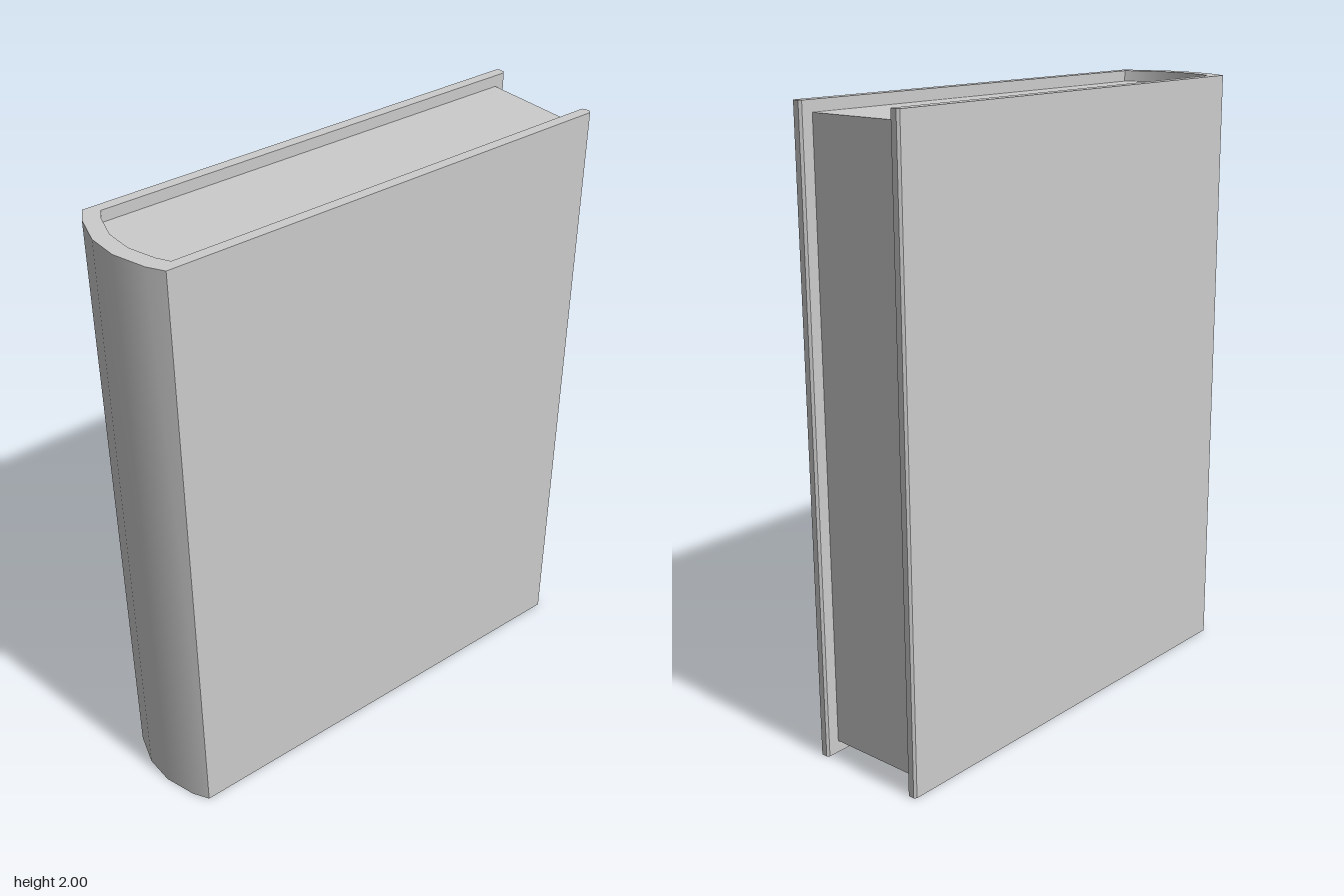
import * as THREE from 'three';
import { toCreasedNormals } from 'three/addons/utils/BufferGeometryUtils.js';

const material = new THREE.MeshStandardMaterial({ color: 0xcccccc });

// Half outlines as [x, z], from the fore edge round to the middle of the spine
const outer = [[0.78, 0.205], [-0.725, 0.205], [-0.755, 0.155], [-0.787, 0.05]];
const inner = [[-0.737, 0.045], [-0.71, 0.132], [-0.688, 0.171], [0.78, 0.171]];
const lip = [[0.787, 0.178], [0.787, 0.198]]; // softened board edge

const mirror = (points) => points.map(([x, z]) => [x, -z]).reverse();

// Extrudes an (x, z) outline upright between two heights
function upright(name, points, bottom, top) {
  const shape = new THREE.Shape(points.map(([x, z]) => new THREE.Vector2(x, z)));
  const geometry = new THREE.ExtrudeGeometry(shape, { depth: top - bottom, bevelEnabled: false });
  geometry.rotateX(Math.PI / 2).translate(0, top, 0);
  const mesh = new THREE.Mesh(toCreasedNormals(geometry, 0.65), material);
  mesh.name = name;
  return mesh;
}

export function createModel() {
  const book = new THREE.Group();
  book.name = 'book';

  // Two boards and the rounded spine in one wrap
  const wrap = [
    ...outer, ...mirror(outer), ...mirror(lip),
    ...mirror(inner), ...inner, ...lip,
  ];
  book.add(upright('cover', wrap, 0, 2));

  // Page block, set back from the cover edges
  const half = [[0.745, 0.169], [-0.686, 0.169], [-0.708, 0.131], [-0.735, 0.045]];
  book.add(upright('pages', [...half, ...mirror(half)], 0.04, 1.965));

  return book;
}
